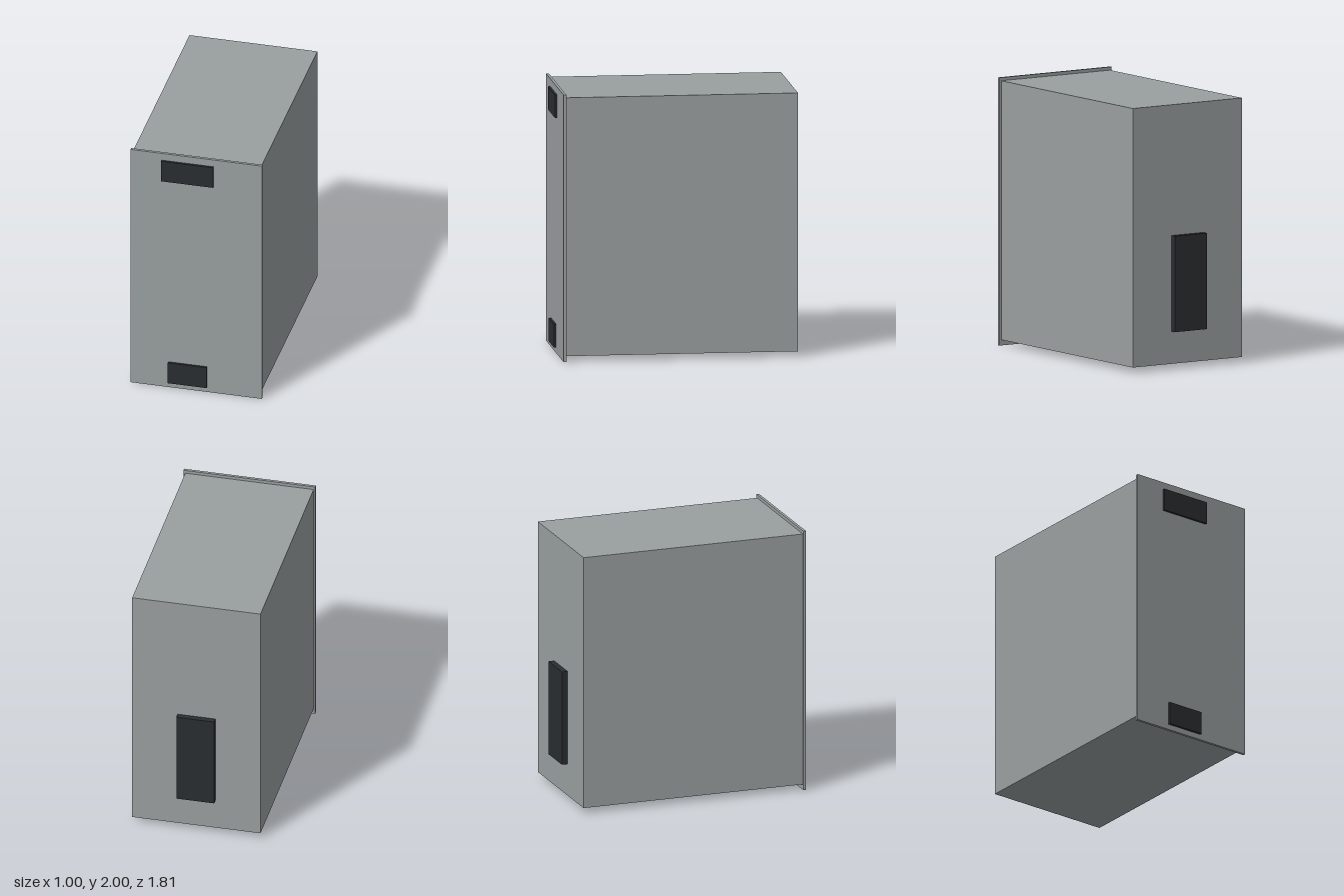
import * as THREE from 'three';

const casing = new THREE.MeshStandardMaterial({ color: 0x9a9fa0 });
const dark = new THREE.MeshStandardMaterial({ color: 0x2a2d31 });

// Box given by its extents on each axis
function block(name, material, [x0, x1], [y0, y1], [z0, z1]) {
  const mesh = new THREE.Mesh(new THREE.BoxGeometry(x1 - x0, y1 - y0, z1 - z0), material);
  mesh.position.set((x0 + x1) / 2, (y0 + y1) / 2, (z0 + z1) / 2);
  mesh.name = name;
  return mesh;
}

export function createModel() {
  const model = new THREE.Group();
  model.name = 'cabinet';
  const plateDepth = [0.888, 0.905];

  model.add(
    // Main housing and its slightly larger front panel
    block('housing', casing, [-0.488, 0.486], [0.042, 1.976], [-0.861, 0.867]),
    block('frontPanel', casing, [-0.5, 0.5], [0, 2], [0.867, 0.888]),
    // Dark plates on the front
    block('upperFrontPlate', dark, [-0.264, 0.132], [1.77, 1.942], plateDepth),
    block('lowerFrontPlate', dark, [-0.213, 0.082], [0.042, 0.217], plateDepth),
    // Connector block on the back
    block('rearConnector', dark, [-0.146, 0.141], [0.283, 1.0], [-0.905, -0.861]),
  );
  return model;
}
